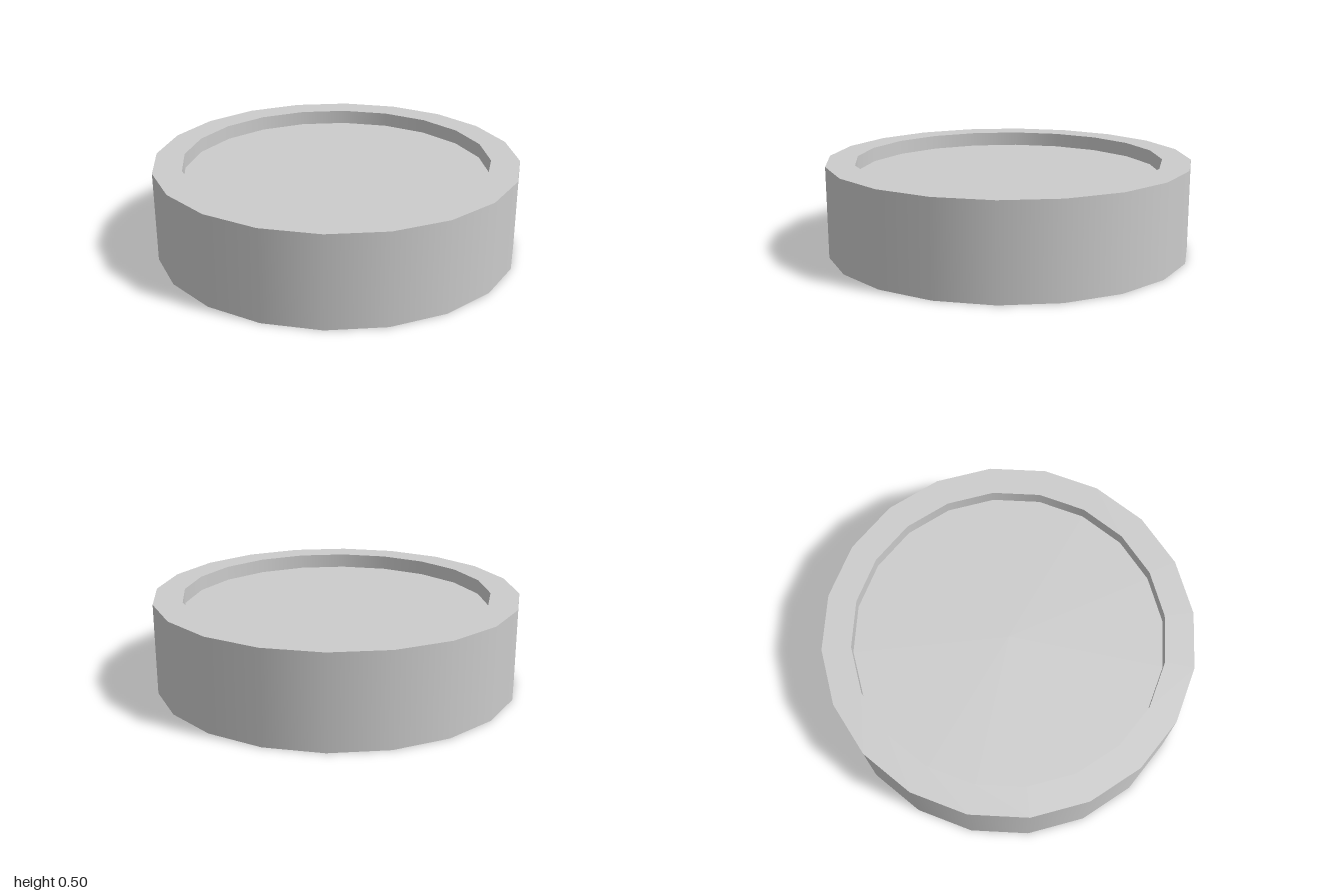
import * as THREE from 'three';

const SIDES = 20, OUTER = 1, INNER = 0.843, HEIGHT = 0.5, RECESS = 0.08;

export function createModel() {
  const model = new THREE.Group();
  model.name = 'recessedDisc';
  const material = new THREE.MeshStandardMaterial({ color: 0xcccccc });

  const add = (name, geometry) => {
    const mesh = new THREE.Mesh(geometry, material);
    mesh.name = name;
    model.add(mesh);
    return mesh;
  };

  // One revolved band per profile segment: smooth around, sharp at the rims
  const band = (name, r0, y0, r1, y1) => add(name, new THREE.LatheGeometry(
    [new THREE.Vector2(r0, y0), new THREE.Vector2(r1, y1)], SIDES));

  band('outerWall', OUTER, 0, OUTER, HEIGHT);
  band('topRim', OUTER, HEIGHT, INNER, HEIGHT);
  band('topRecessWall', INNER, HEIGHT, INNER, HEIGHT - RECESS);
  band('bottomRecessWall', INNER, RECESS, INNER, 0);
  band('bottomRim', INNER, 0, OUTER, 0);

  // Flat recessed panels, one facing up and one facing down
  for (const [name, y, turn] of [['topPanel', HEIGHT - RECESS, -1], ['bottomPanel', RECESS, 1]]) {
    const panel = add(name, new THREE.CircleGeometry(INNER, SIDES));
    panel.rotation.x = turn * Math.PI / 2;
    panel.position.y = y;
  }

  return model;
}
